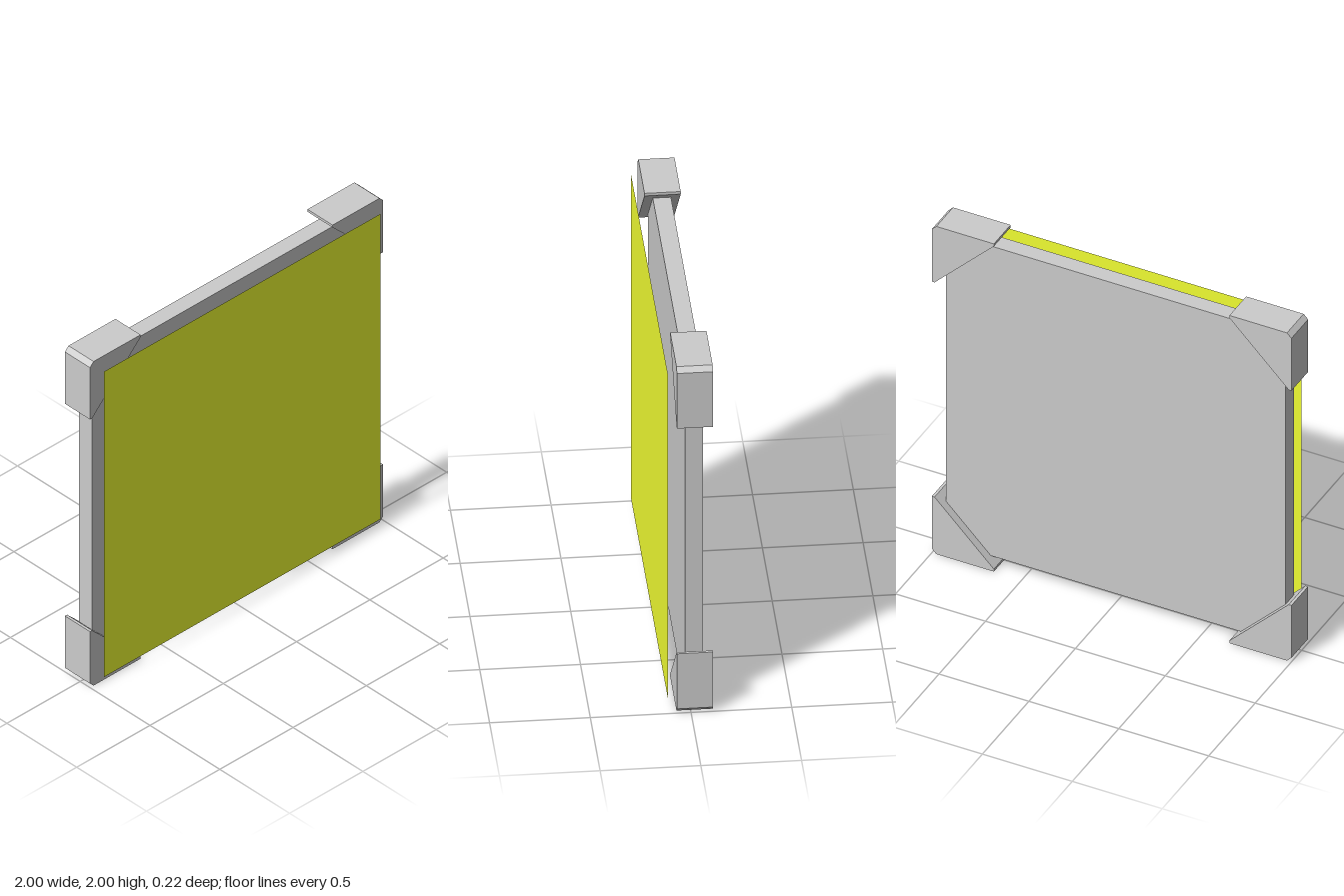
import * as THREE from 'three';

export function createModel() {
  const model = new THREE.Group();
  const grey = new THREE.MeshStandardMaterial({ color: 0xcccccc, flatShading: true });
  const yellow = new THREE.MeshStandardMaterial({ color: 0xf2ff33, side: THREE.DoubleSide });

  const add = (name, geometry, material, x, y, z) => {
    const mesh = new THREE.Mesh(geometry, material);
    mesh.name = name;
    mesh.position.set(x, y, z);
    model.add(mesh);
    return mesh;
  };

  // Square slab held by the corner guards
  add('panel', new THREE.BoxGeometry(1.89, 1.89, 0.09), grey, 0, 1, -0.02);

  // Thin coloured sheet floating in front of the slab
  add('frontSheet', new THREE.PlaneGeometry(1.885, 1.885), yellow, 0, 1, 0.11);

  // Triangular corner guard with clipped tips, relative to the panel centre
  const profile = [
    [1, 0.655], [1, 0.975], [0.975, 1], [0.655, 1], [0.655, 0.985], [0.985, 0.655],
  ].map(([x, y]) => new THREE.Vector2(x, y));
  const guard = new THREE.ExtrudeGeometry(new THREE.Shape(profile), { depth: 0.18, bevelEnabled: false });

  // The guard is symmetric about its diagonal, so quarter turns place all four
  ['topLeft', 'topRight', 'bottomRight', 'bottomLeft'].forEach((corner, i) => {
    add(corner + 'CornerGuard', guard, grey, 0, 1, -0.11).rotation.z = i * Math.PI / 2;
  });

  return model;
}
